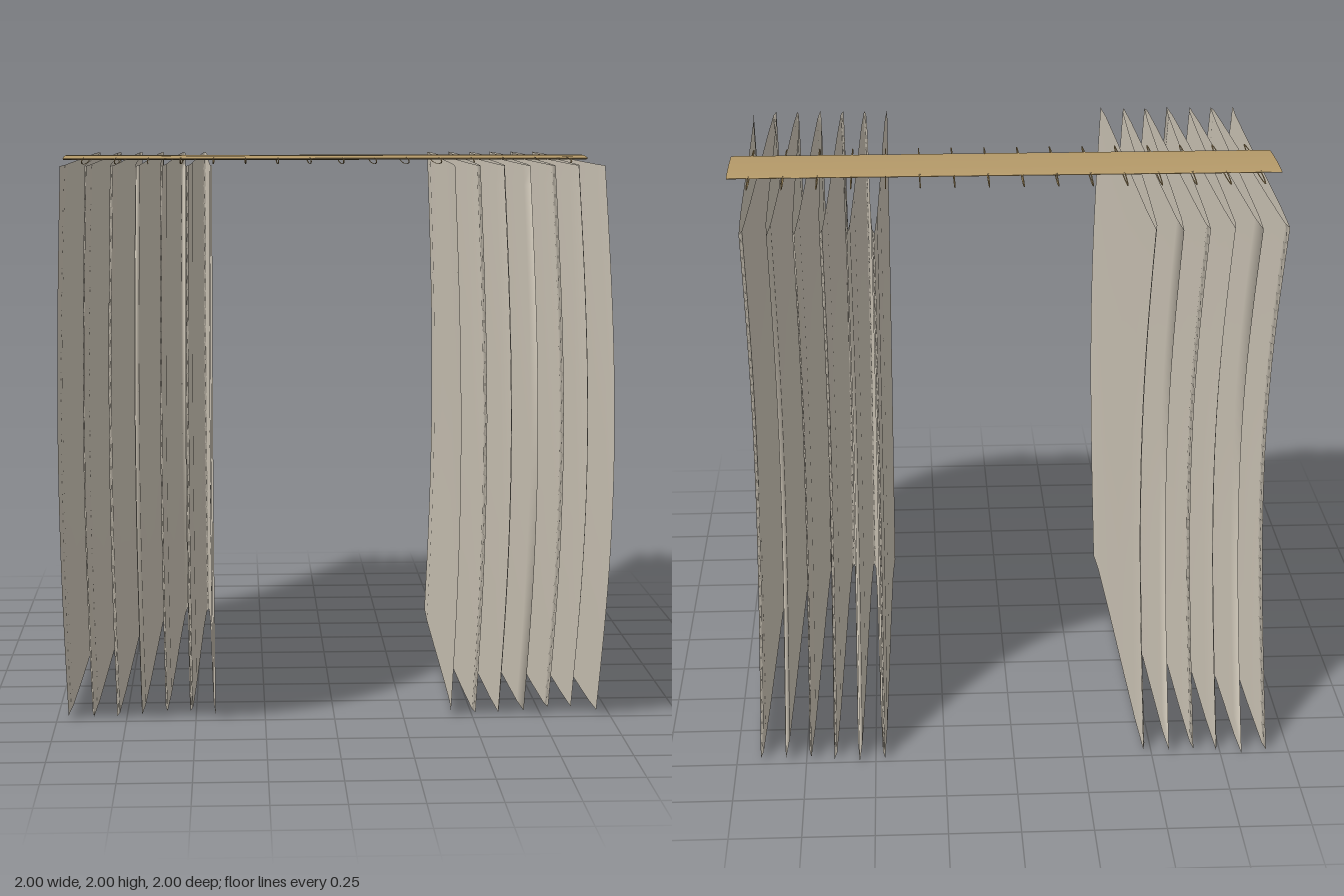
import * as THREE from 'three';

const ROD_Z = -0.155;
const FLAT = 0.055; // height-to-depth ratio of the flattened rod and rings

// Pleated sheet: a cosine wave in x that bows forward at mid height
function curtainPanel(name, xStart, material) {
  const width = 0.531, pleats = 6, top = 1.988;
  const geo = new THREE.PlaneGeometry(1, 1, 64, 28);
  const pos = geo.attributes.position;
  for (let i = 0; i < pos.count; i++) {
    const u = pos.getX(i) + 0.5;
    const v = pos.getY(i) + 0.5;
    const hem = 0.014 - 0.01 * Math.sin(u * Math.PI * 2);
    pos.setXYZ(
      i,
      xStart + u * width,
      hem + (top - hem) * v,
      -0.15 + 0.85 * Math.cos(u * pleats * Math.PI * 2) + 0.3 * Math.sin(v * Math.PI)
    );
  }
  geo.computeVertexNormals();
  const mesh = new THREE.Mesh(geo, material);
  mesh.name = name;
  return mesh;
}

export function createModel() {
  const group = new THREE.Group();
  const fabric = new THREE.MeshStandardMaterial({ color: 0xd2cabb, side: THREE.DoubleSide });
  const brass = new THREE.MeshStandardMaterial({ color: 0xb59a69 });

  // Curtains
  group.add(curtainPanel('rightCurtain', -0.96, fabric));
  group.add(curtainPanel('leftCurtain', 0.425, fabric));

  // Flattened rod along x
  const rodGeo = new THREE.CylinderGeometry(0.155, 0.155, 2, 32);
  rodGeo.rotateZ(Math.PI / 2).scale(1, FLAT, 1);
  const rod = new THREE.Mesh(rodGeo, brass);
  rod.name = 'rod';
  rod.position.set(0, 1.9915, ROD_Z);
  group.add(rod);

  // Flattened rings hanging on the rod
  const ringGeo = new THREE.TorusGeometry(0.26, 0.015, 8, 32);
  ringGeo.rotateY(Math.PI / 2).scale(0.15, FLAT, 1);
  const rings = new THREE.Group();
  rings.name = 'rings';
  for (let i = 0; i < 16; i++) {
    const ring = new THREE.Mesh(ringGeo, brass);
    ring.name = 'ring';
    ring.position.set((i - 7.5) * 0.123, 1.983, ROD_Z);
    rings.add(ring);
  }
  group.add(rings);

  return group;
}
